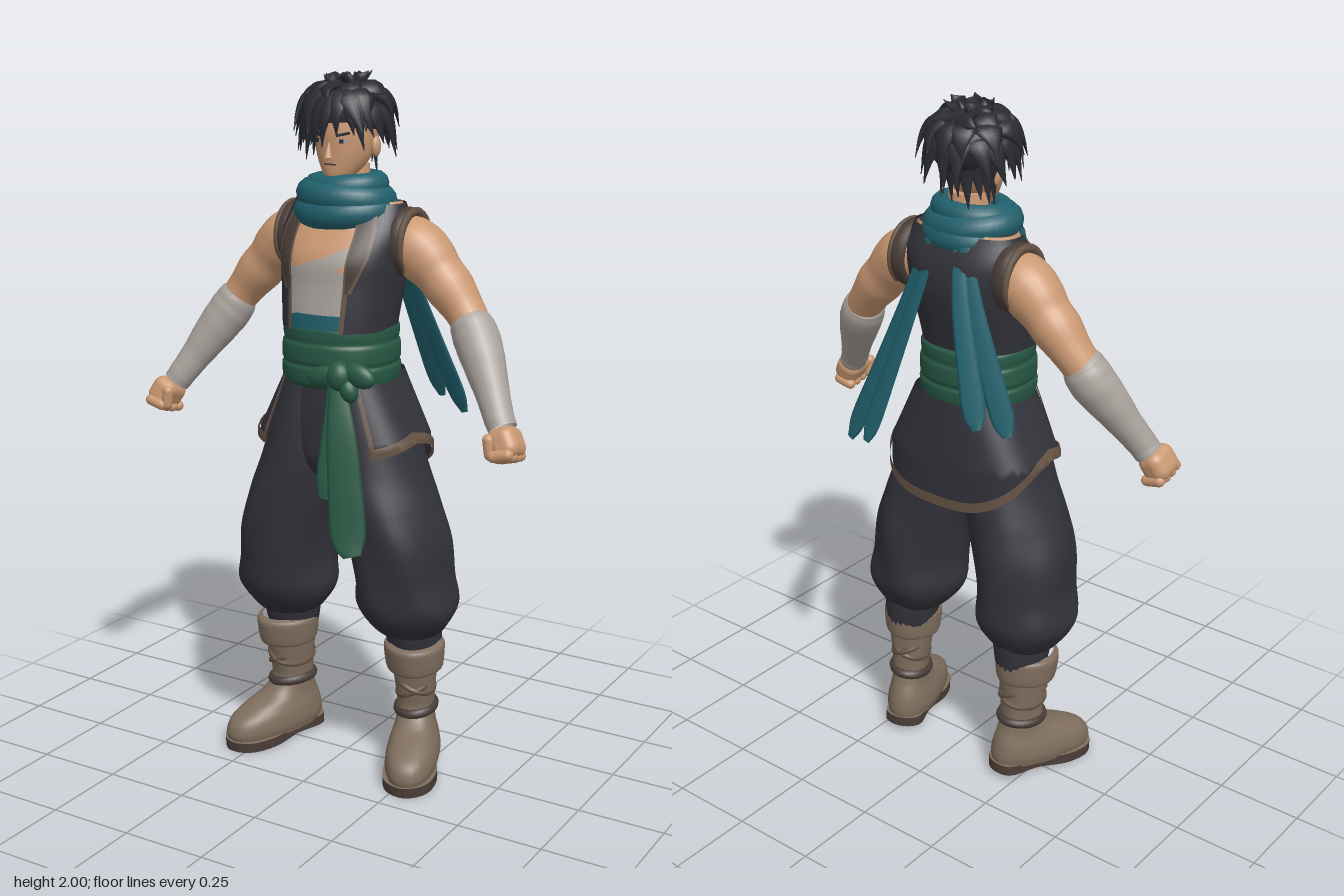
import * as THREE from 'three';
import { mergeGeometries } from 'three/addons/utils/BufferGeometryUtils.js';
import { ParametricGeometry } from 'three/addons/geometries/ParametricGeometry.js';
import { RoundedBoxGeometry } from 'three/addons/geometries/RoundedBoxGeometry.js';

const V = (x, y, z) => new THREE.Vector3(x, y, z);
const TAU = Math.PI * 2;
const sp = (v, p) => Math.sign(v) * Math.abs(v) ** p;
const paint = (name, color, side = THREE.FrontSide) => {
  const m = new THREE.MeshStandardMaterial({ color, side });
  m.name = name;
  return m;
};

// Smooth tube through rows of [x, y, z, radiusAcross, radiusAlongRef]; flat keeps every ring level.
function loft(rows, { flat = false, ref = [0, 0, 1], p = 1, nu = 24, nv = rows.length * 4, warp = () => 1 } = {}) {
  const centre = new THREE.CatmullRomCurve3(rows.map(r => V(r[0], r[1], r[2])), false, 'catmullrom');
  const radii = new THREE.CatmullRomCurve3(rows.map(r => V(r[3], r[4], 0)), false, 'catmullrom');
  const R = V(...ref);
  return new ParametricGeometry((u, v, out) => {
    const T = flat ? V(0, 1, 0) : centre.getTangent(v);
    const A = R.clone().addScaledVector(T, -R.dot(T)).normalize();
    const B = T.cross(A);
    const r = radii.getPoint(v), a = u * TAU, k = warp(a, v);
    out.copy(centre.getPoint(v))
      .addScaledVector(A, sp(Math.cos(a), p) * Math.max(r.y, 0.001) * k)
      .addScaledVector(B, sp(Math.sin(a), p) * Math.max(r.x, 0.001) * k);
  }, nu, nv);
}

// Torso surface: depth centre, half width and half depth at equal height steps from 1.28 to 1.655
const torso = new THREE.CatmullRomCurve3([
  [.045, .155, .143], [.035, .163, .147], [.022, .172, .152], [.012, .18, .155], [-.005, .188, .128], [-.015, .165, .08],
].map(r => V(...r)), false, 'catmullrom');
const onTorso = (f, s, nu = 24, nv = 16) => new ParametricGeometry((u, v, out) => {
  const [a, y] = f(u, v);
  const r = torso.getPoint(THREE.MathUtils.clamp((y - 1.28) / .375, 0, 1));
  out.set(sp(Math.sin(a), .87) * r.y * s, y, r.x + sp(Math.cos(a), .87) * r.z * s);
}, nu, nv);
const band = (a0, a1, y0, y1) => (u, v) => [a0 + (a1 - a0) * u, y0 + (y1 - y0) * v];

// Overskirt surface with a hem that rises at the sides and drops at the back
const hem = a => {
  const k = (1 - Math.cos(a)) / 2;
  return .965 + .04 * Math.min(1, k / .45) - .135 * Math.max(0, (k - .45) / .55) ** 1.2;
};
const onSkirt = (f, off, nu, nv) => new ParametricGeometry((u, v, out) => {
  const [a, y] = f(u, v), t = Math.min(1, (1.18 - y) / .18);
  out.set(sp(Math.sin(a), .7) * (.155 + .09 * t + off), y, .015 + sp(Math.cos(a), .7) * (.15 + .018 * t + off));
}, nu, nv);

export function createModel() {
  const D = THREE.DoubleSide;
  const hair = paint('black hair', 0x292b32), cloth = paint('charcoal cloth', 0x32323a, D), skin = paint('skin', 0xcb9973);
  const teal = paint('teal scarf', 0x21606c, D), green = paint('green sash', 0x275844, D), wrap = paint('grey bandage', 0xaaa39d, D);
  const leather = paint('boot leather', 0x7f6e5e), trim = paint('brown trim', 0x665345, D), dark = paint('dark brown', 0x4a3d38, D);

  const model = new THREE.Group();
  model.name = 'fighter';
  const add = (name, geo, mat, parent = model) => {
    const m = new THREE.Mesh(geo, mat);
    m.name = name;
    parent.add(m);
    return m;
  };
  const group = name => {
    const g = new THREE.Group();
    g.name = name;
    model.add(g);
    return g;
  };

  // Chest, bandages and waist cloth
  add('chest', onTorso(band(0, TAU, 1.34, 1.655), .94, 40), skin);
  add('chestBandage', onTorso(band(-.8, .8, 1.34, 1.475), .95), wrap);
  [[1.43, 1.535, .97], [1.47, 1.39, .96], [1.37, 1.42, .975]].forEach(([l, r, s]) =>
    add('bandageStrip', onTorso((u, v) => [-.65 + 1.3 * u, l + (r - l) * u + (v - .5) * .05], s, 16, 4), wrap));
  add('waistCloth', onTorso(band(-.9, .9, 1.3, 1.357), .965), teal);

  // Open vest, lapels and armholes
  add('vest', onTorso(band(.45, TAU - .45, 1.31, 1.65), 1, 48), cloth);
  const yoke = add('vestYoke', new THREE.CylinderGeometry(.95, 1, .016, 32), cloth);
  yoke.scale.set(.16, 1, .08);
  yoke.position.set(0, 1.644, -.015);
  for (const s of [1, -1]) {
    const side = f => (u, v) => {
      const [a, y] = f(s > 0 ? u : 1 - u, v);
      return [s * a, y];
    };
    const flare = v => .07 + .26 * Math.min(1, v * 2.4) - .08 * v;
    add('vestEdge', onTorso(side(band(.43, .52, 1.31, 1.64)), 1.015, 4), trim);
    add('lapel', onTorso(side((u, v) => [.46 + u * flare(v), 1.42 + .215 * v]), 1.03, 8), dark);
    add('lapelEdge', onTorso(side((u, v) => [.44 + flare(v) + .06 * u, 1.42 + .215 * v]), 1.042, 4), trim);
    [['armholeBand', .0115, 2.4, .176, dark], ['armholeTrim', .0125, .7, .198, trim]].forEach(([name, tube, wide, x, mat]) => {
      const hole = add(name, new THREE.TorusGeometry(.083, tube, 8, 32), mat);
      hole.scale.set(.98, 1.03, wide);
      hole.rotation.set(0, Math.PI / 2, s * .2);
      hole.position.set(s * x, 1.543, -.024);
    });
  }

  // Scarf rolls and four trailing tails
  const scarf = group('scarf');
  [[1.626, .11, .042, .06, .04], [1.662, .103, .042, -.05, -.07], [1.694, .088, .034, .03, .05]].forEach(([y, R, t, rx, rz]) => {
    const roll = add('scarfRoll', new THREE.TorusGeometry(R, t, 12, 40).rotateX(Math.PI / 2), teal, scarf);
    roll.scale.z = .86;
    roll.position.set(0, y, .008);
    roll.rotation.set(rx, 0, rz);
  });
  const tailWidth = [.018, .026, .032, .034, .014];
  [[.06, .255, 1.03, -.23], [.04, .16, 1.06, -.27], [-.06, -.28, 1.17, -.2], [-.04, -.215, 1.19, -.25]].forEach(([x0, x1, y1, z1]) =>
    add('scarfTail', loft([0, .33, .66, .9, 1].map((t, i) =>
      [x0 + (x1 - x0) * t ** 1.15, 1.63 + (y1 - 1.63) * t, -.105 + (z1 + .105) * t ** .9, .004, tailWidth[i]]),
    { ref: [1, 0, Math.sign(x0) * .25], nu: 8 }), teal, scarf));

  // Waist sash, knot and hanging ends
  const sash = group('sash');
  add('sashWrap', loft([[1.15, .148], [1.163, .162], [1.2, .166], [1.213, .161], [1.228, .165], [1.263, .164], [1.276, .159], [1.293, .161], [1.314, .16], [1.322, .15]]
    .map(([y, r]) => [0, y, .034, r, r * .925]), { flat: true, nu: 40, p: .9 }), green, sash);
  [[.09, 1.2, .195, .036, .042, .034, 0], [.035, 1.192, .187, .05, .03, .02, .25], [.147, 1.207, .187, .05, .033, .024, -.3], [.12, 1.165, .195, .026, .035, .025, .4]]
    .forEach(([x, y, z, a, b, c, turn]) => {
      const k = add('sashKnot', new THREE.SphereGeometry(1, 20, 14), green, sash);
      k.scale.set(a, b, c);
      k.position.set(x, y, z);
      k.rotation.z = turn;
    });
  [[[.085, 1.19, .2, .02], [.112, 1.05, .222, .04], [.132, .9, .235, .048], [.148, .77, .245, .05], [.165, .715, .25, .026]],
    [[.075, 1.19, .19, .02], [.082, 1.05, .205, .036], [.078, .92, .222, .04], [.07, .86, .23, .022]]].forEach(rows =>
    add('sashEnd', loft(rows.map(([x, y, z, w]) => [x, y, z, .007, w]), { ref: [1, 0, -.4], nu: 10 }), green, sash));

  // Overskirt with trimmed hem and front edges
  const a0 = .6, sweep = TAU - 2 * a0, angle = u => a0 + sweep * u;
  add('skirt', onSkirt((u, v) => [angle(u), hem(angle(u)) * (1 - v) + 1.18 * v], 0, 64, 12), cloth);
  add('skirtHem', onSkirt((u, v) => [angle(u), hem(angle(u)) - .004 + .03 * v], .007, 64, 2), trim);
  for (const a of [a0, TAU - a0 - .08])
    add('skirtEdge', onSkirt((u, v) => [a + .08 * u, hem(a) * (1 - v) + 1.17 * v], .006, 3, 10), trim);
  add('trouserSeat', loft([[0, .85, .02, .05, .08], [0, .93, .02, .14, .135], [0, 1.05, .02, .195, .142], [0, 1.18, .02, .155, .135]], { flat: true }), cloth);

  for (const s of [1, -1]) {
    const mx = rows => rows.map(([x, ...r]) => [s * x, ...r]);
    const side = s > 0 ? 'left' : 'right';

    // Baggy trouser leg, full at the knee and gathered at the shin
    add(side + 'TrouserLeg', loft(mx([
      [.205, .415, -.015, .07, .075], [.203, .44, -.005, .105, .105], [.2, .51, .003, .147, .148], [.193, .6, .01, .137, .157], [.182, .71, .015, .14, .164],
      [.156, .81, .02, .136, .16], [.122, .92, .02, .125, .153], [.1, 1.05, .02, .105, .143], [.08, 1.18, .02, .075, .128]]),
    { flat: true, nu: 48, nv: 48, warp: (a, v) => 1 + .03 * Math.sin(5 * s * a + 10 * v) * Math.sin(Math.PI * Math.min(1, v * 1.3)) }), cloth);
    add(side + 'TrouserCuff', loft(mx([[.208, .35, -.03, .07, .075], [.208, .4, -.025, .08, .085], [.205, .45, -.02, .085, .09]]), { flat: true }), cloth);

    // Boot
    const boot = group(side + 'Boot');
    boot.position.set(s * .215, .014, -.04);
    boot.rotation.set(.06, s * .35, 0);
    add('bootUpper', loft([
      [0, .022, .075, .07, .163], [0, .05, .075, .076, .167], [0, .085, .068, .072, .156], [0, .113, .045, .063, .125], [0, .14, .015, .056, .085],
      [0, .18, 0, .053, .063], [0, .24, 0, .058, .067], [0, .31, 0, .066, .074], [0, .36, 0, .07, .078]], { flat: true, nu: 32, p: .85 }), leather, boot);
    add('bootCuff', loft([[0, .295, .008, .07, .078], [0, .305, .008, .081, .09], [0, .345, .008, .086, .096], [0, .375, .008, .086, .096], [0, .385, .008, .07, .08]],
      { flat: true, nu: 32, warp: a => 1 + .015 * Math.cos(4 * a) }), leather, boot);
    const outline = new THREE.Shape().setFromPoints(new THREE.CatmullRomCurve3(
      [[0, -.095], [.053, -.07], [.056, .03], [.078, .13], [.058, .215], [0, .247], [-.058, .215], [-.078, .13], [-.056, .03], [-.053, -.07]]
        .map(([x, y]) => V(x, y, 0)), true).getPoints(40).slice(0, -1).map(q => new THREE.Vector2(q.x, q.y)));
    add('bootSole', new THREE.ExtrudeGeometry(outline, { depth: .03, bevelEnabled: false }).rotateX(Math.PI / 2).translate(0, .03, 0), [leather, dark], boot);
    [[.17, .1, .058, .012], [.24, .42, .061, .007], [.25, -.42, .062, .007]].forEach(([y, tilt, R, t]) => {
      const strap = add('bootStrap', new THREE.TorusGeometry(R, t, 8, 28).rotateX(Math.PI / 2), y < .2 ? dark : trim, boot);
      strap.scale.set(.95, 1.2, 1.14);
      strap.position.y = y;
      strap.rotation.z = tilt;
    });

    // Arm with wrapped forearm
    add(side + 'UpperArm', loft(mx([
      [.13, 1.553, -.02, .066, .066], [.195, 1.536, -.025, .079, .082], [.24, 1.5, -.026, .078, .078], [.275, 1.464, -.026, .067, .07], [.31, 1.427, -.024, .066, .07],
      [.35, 1.38, -.02, .056, .06], [.377, 1.345, -.013, .053, .056], [.4, 1.31, -.005, .055, .056]]), { nv: 40 }), skin);
    add(side + 'ForearmWrap', loft(mx([
      [.373, 1.352, -.015, .051, .053], [.382, 1.338, -.01, .059, .06], [.405, 1.3, 0, .063, .065], [.44, 1.245, .025, .058, .058],
      [.485, 1.17, .06, .046, .046], [.515, 1.12, .085, .041, .042], [.533, 1.092, .095, .039, .041]]),
    { nv: 48, warp: (a, v) => 1 + .006 * Math.sin(v * 45 + a) }), wrap);

    // Fist
    const fist = group(side + 'Fist');
    fist.position.set(s * .555, 1.06, .115);
    fist.rotation.set(-.25, 0, s * .5);
    add('palm', new RoundedBoxGeometry(.078, .088, .098, 4, .03), skin, fist);
    for (let i = 0; i < 4; i++) {
      const finger = add('finger', new THREE.CapsuleGeometry(.0165, .04, 5, 12), skin, fist);
      finger.position.set(-s * .012, -.035 + Math.abs(i - 1.5) * .003, (i - 1.5) * .027);
      finger.rotation.z = Math.PI / 2 - s * .25;
    }
    const thumb = add('thumb', new THREE.CapsuleGeometry(.016, .04, 5, 12), skin, fist);
    thumb.position.set(-s * .035, .002, .038);
    thumb.rotation.set(.3, 0, -s * .35);

    // Ear, eye and brow
    const ear = add(side + 'Ear', new THREE.SphereGeometry(1, 16, 12), skin);
    ear.scale.set(.012, .028, .018);
    ear.position.set(s * .086, 1.8, -.005);
    [['EyeWhite', wrap, .028, .01, 1.818, .091, .038], ['Iris', hair, .012, .01, 1.818, .0935, .036], ['Brow', hair, .038, .007, 1.836, .093, .04]]
      .forEach(([n, mat, w, h, y, z, x]) => {
        const plate = add(side + n, new THREE.BoxGeometry(w, h, .008), mat);
        plate.position.set(s * x, y, z);
        plate.rotation.set(0, s * .42, n === 'Brow' ? s * .2 : 0);
      });
  }

  // Head
  add('neck', new THREE.CylinderGeometry(.055, .065, .16, 24).translate(0, 1.67, -.01), skin);
  add('head', loft([[0, 1.695, .05, .015, .02], [0, 1.72, .042, .04, .048], [0, 1.76, .022, .067, .073], [0, 1.8, .01, .081, .088],
    [0, 1.85, 0, .087, .1], [0, 1.9, -.01, .085, .098], [0, 1.95, -.01, .05, .06]], { flat: true, nu: 32 }), skin);
  const nose = add('nose', new THREE.ConeGeometry(.012, .05, 10), skin);
  nose.position.set(0, 1.797, .1);
  nose.rotation.x = -.15;
  add('mouth', new THREE.BoxGeometry(.034, .004, .006), dark).position.set(0, 1.755, .094);

  // Hair: a cap covered with rings of pointed locks, then the fringe swept to one side
  let seed = 7;
  const rand = () => (seed = (seed * 16807) % 2147483647) / 2147483647 - .5;
  const lock = (base, mid, tip, w, ref) => {
    const c = new THREE.QuadraticBezierCurve3(base, mid, tip);
    return loft([.8, .95, .7, .36, .02].map((k, i) => [...c.getPoint(i / 4).toArray(), w * k, w * k * .4]), { ref, nu: 8, nv: 10 });
  };
  const locks = [new THREE.SphereGeometry(1, 28, 18).scale(.106, .095, .116).translate(-.008, 1.885, -.014)];
  [[9, 1.75, 4.53, 1.86, .088, 1.74, .085, .038], [11, 1.25, 5.03, 1.9, .09, 1.79, .142, .042], [11, .5, 5.78, 1.935, .08, 1.86, .152, .042],
    [9, 0, 5.6, 1.955, .05, 1.925, .122, .038], [6, .4, 5.6, 1.965, .01, 1.985, .07, .03]].forEach(([n, s0, s1, by, br, ty, tr, w]) => {
    for (let i = 0; i < n; i++) {
      const az = s0 + (s1 - s0) * i / (n - 1) + rand() * .2;
      const at = (r, y, turn = 0) => V(-.01 + Math.sin(az + turn) * r * .96, y, -.01 + Math.cos(az + turn) * r);
      locks.push(lock(at(br, by), at(Math.max(br, tr) * .88, by + .008),
        at(tr + rand() * .022, Math.min(1.998, ty + rand() * .045), .15 + rand() * .4), w, [Math.sin(az), .4, Math.cos(az)]));
    }
  });
  [[-.065, -.145, 1.82, .036], [-.05, -.105, 1.785, .04], [-.03, -.07, 1.765, .042], [-.012, -.038, 1.78, .04], [.008, -.008, 1.8, .036],
    [.03, .035, 1.833, .033], [.05, .078, 1.835, .033], [.06, .1, 1.795, .03], [.065, .12, 1.83, .03]].forEach(([bx, tx, ty, w]) =>
    locks.push(lock(V(bx, 1.95, .05), V((bx + tx) / 2, 1.925, .135 - tx * tx * 3), V(tx, ty, .122 - tx * tx * 4), w, [tx * 6, .3, 1])));
  add('hair', mergeGeometries(locks), hair);

  return model;
}
